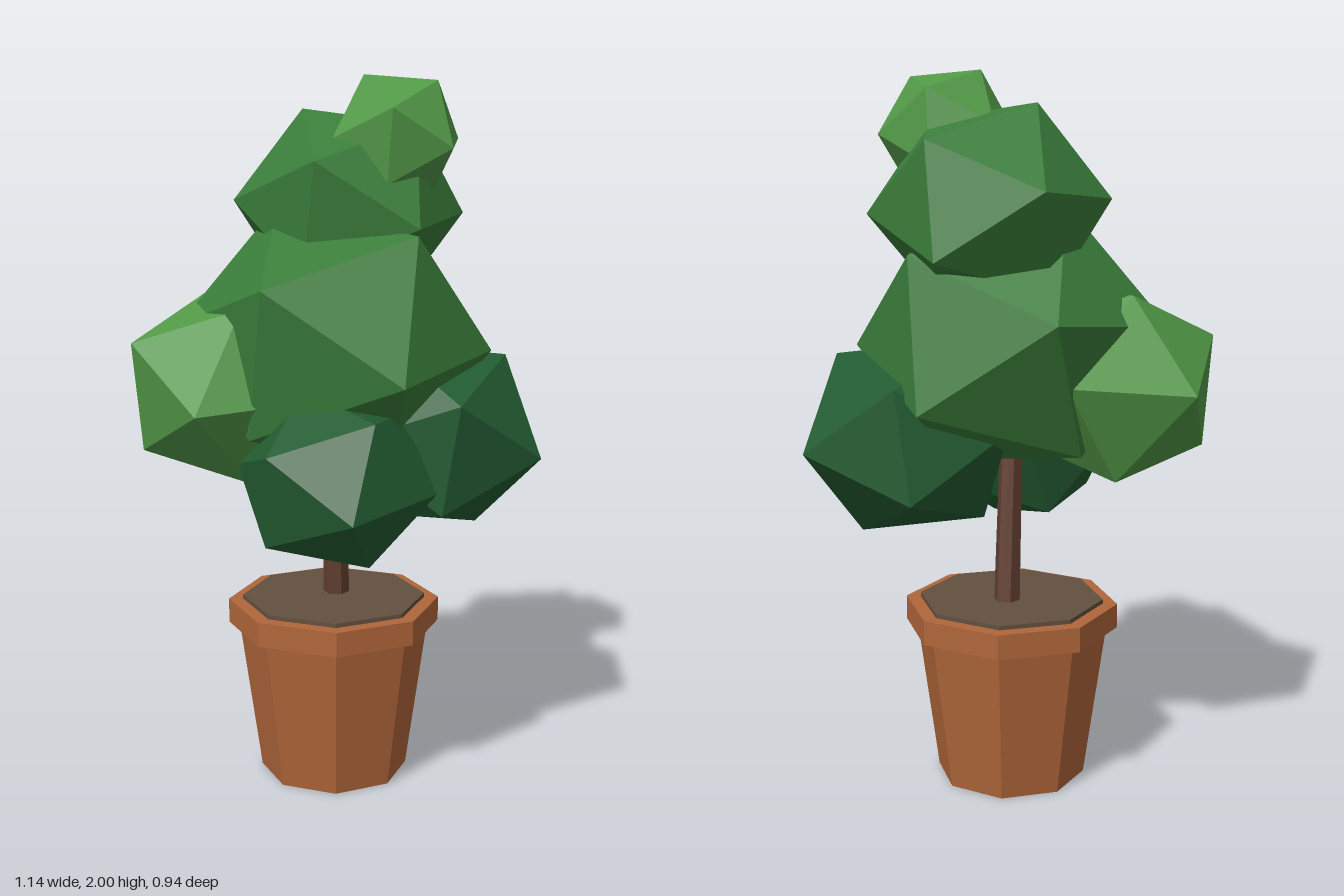
import * as THREE from 'three';

const flat = (name, color) => {
  const m = new THREE.MeshStandardMaterial({ color, flatShading: true });
  m.name = name;
  return m;
};

export function createModel() {
  const group = new THREE.Group();
  const terracotta = flat('terracotta', 0xb0663a);
  const soil = flat('soil', 0x63503e);
  const bark = flat('bark', 0x633f30);
  const midGreen = flat('midGreen', 0x3a7d3a);
  const lightGreen = flat('lightGreen', 0x529847);
  const darkGreen = flat('darkGreen', 0x235c32);

  const add = (name, geometry, material) => {
    const mesh = new THREE.Mesh(geometry, material);
    mesh.name = name;
    group.add(mesh);
    return mesh;
  };

  // Eight-sided pot, rim and soil, sharing one axis
  const octagon = (name, material, rTop, rBottom, y0, y1) => {
    const g = new THREE.CylinderGeometry(rTop, rBottom, y1 - y0, 8).rotateY(Math.PI / 8);
    add(name, g, material).position.set(-0.02, (y0 + y1) / 2, -0.035);
  };
  octagon('pot', terracotta, 0.277, 0.213, 0, 0.46);
  octagon('potRim', terracotta, 0.305, 0.305, 0.445, 0.515);
  octagon('soil', soil, 0.264, 0.264, 0.5, 0.527);

  // Slightly leaning trunk
  const foot = new THREE.Vector3(0, 0.5, -0.06);
  const tip = new THREE.Vector3(-0.03, 1.2, -0.02);
  const along = tip.clone().sub(foot);
  const trunk = add('trunk', new THREE.CylinderGeometry(0.03, 0.038, along.length(), 6), bark);
  trunk.position.copy(foot).add(tip).multiplyScalar(0.5);
  trunk.quaternion.setFromUnitVectors(new THREE.Vector3(0, 1, 0), along.normalize());

  // Axes built from two neighbouring corner directions
  const frame = (a, b) => {
    const x = a.clone().normalize();
    const z = x.clone().cross(b).normalize();
    return new THREE.Matrix4().makeBasis(x, z.clone().cross(x), z);
  };

  // Foliage clump: an icosahedron turned so two adjacent corners point along a and b
  const t = (1 + Math.sqrt(5)) / 2;
  const base = frame(new THREE.Vector3(-1, t, 0), new THREE.Vector3(1, t, 0)).invert();
  const clump = (name, material, centre, radius, squash, a, b) => {
    const turn = frame(new THREE.Vector3(...a), new THREE.Vector3(...b)).multiply(base);
    const g = new THREE.IcosahedronGeometry(radius, 0).applyMatrix4(turn).scale(1, squash, 1);
    add(name, g, material).position.set(...centre);
  };
  clump('middleFoliage', midGreen, [-0.015, 1.28, -0.035], 0.441, 0.9,
    [0.005, -0.09, 0.435], [0.395, -0.04, 0.195]);
  clump('upperFoliage', midGreen, [0.06, 1.64, -0.1], 0.328, 0.9,
    [-0.11, 0.3, -0.08], [-0.065, 0.067, -0.315]);
  clump('topFoliage', lightGreen, [0.142, 1.828, 0.028], 0.192, 1,
    [0.193, 0, 0], [0.09, 0.15, 0.075]);
  clump('rightFoliage', lightGreen, [-0.28, 1.15, -0.13], 0.326, 0.9,
    [-0.29, 0.144, -0.025], [-0.255, -0.194, -0.05]);
  clump('leftFoliage', darkGreen, [0.25, 0.996, 0.05], 0.33, 0.9,
    [0.195, 0.26, 0.08], [0.22, -0.057, 0.247]);
  clump('frontFoliage', darkGreen, [-0.121, 0.935, 0.206], 0.28, 0.9,
    [-0.069, -0.069, 0.264], [0.05, -0.247, 0.104]);

  return group;
}
